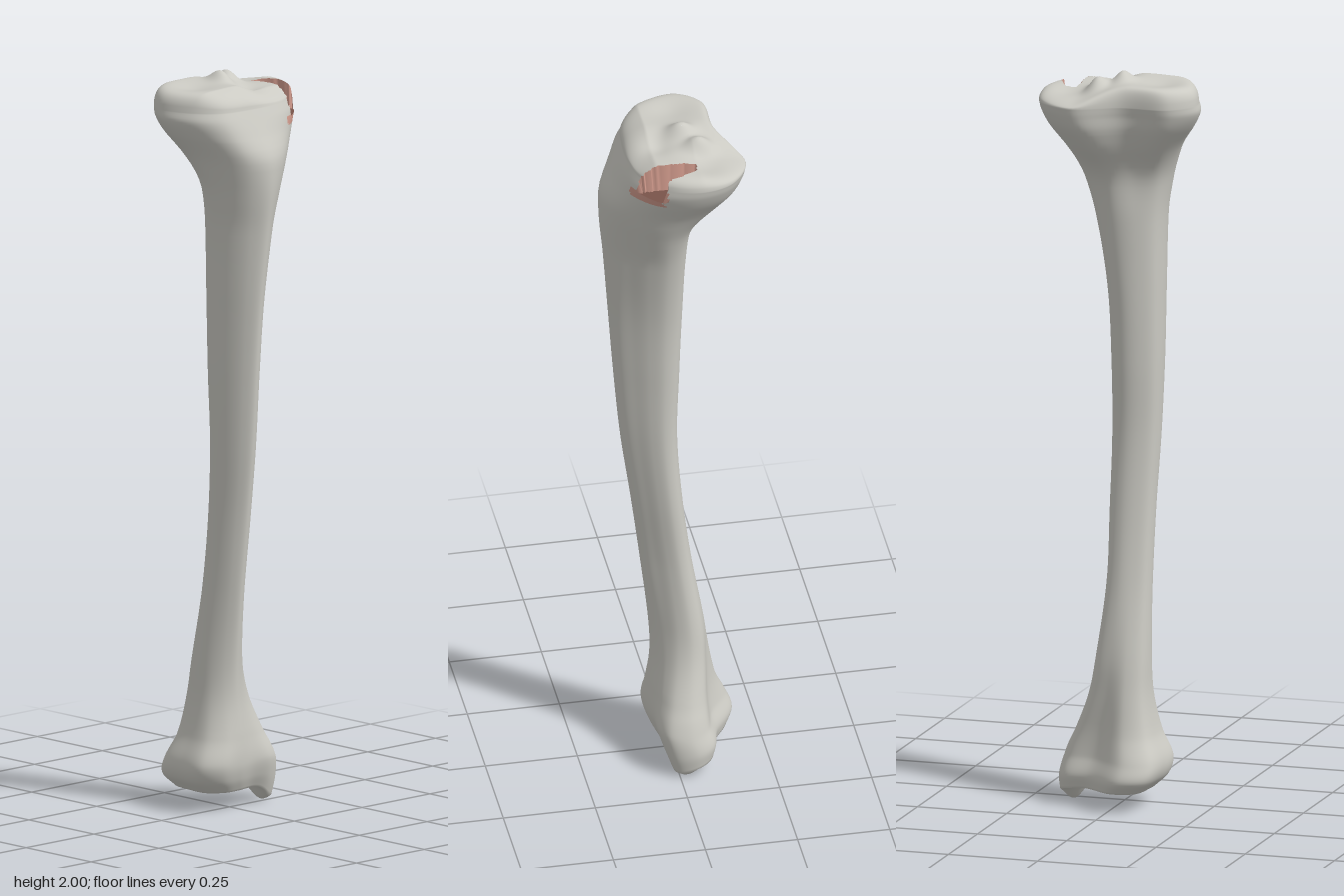
import * as THREE from 'three';

const SEG = 128;

// Outlines seen from above as x, z pairs: outer side, front, inner side, back
const plateau = [-.215, -.05, -.19, .05, -.135, .105, -.05, .12, .04, .118, .125, .095,
  .19, .04, .217, -.05, .19, -.135, .095, -.188, -.03, -.13, -.16, -.12];
const shaft = [-.95, -.2, -.85, .3, -.58, .75, -.2, 1, .2, .82, .55, .42,
  .85, 0, 1, -.45, .85, -.8, .3, -1, -.3, -.92, -.8, -.65];
const ankle = [-.13, -.06, -.128, .02, -.08, .06, -.02, .062, .04, .05, .11, .045,
  .155, .02, .168, -.04, .14, -.09, .06, -.115, -.04, -.175, -.11, -.15];

// Height, x min, x max, z min, z max, outline (0 plateau, 1 shaft, 2 ankle)
const levels = [
  [.05, -.09, .166, -.155, .035, 2],
  [.085, -.125, .17, -.176, .055, 2],
  [.13, -.133, .16, -.16, .066, 2],
  [.2, -.105, .125, -.13, .06, 1.75],
  [.3, -.085, .085, -.11, .05, 1.45],
  [.4, -.08, .065, -.095, .053, 1.2],
  [.6, -.075, .043, -.06, .075, 1],
  [.8, -.077, .042, -.035, .1, 1],
  [1, -.085, .04, -.022, .127, 1],
  [1.2, -.092, .042, -.028, .145, 1],
  [1.4, -.095, .052, -.035, .16, 1],
  [1.6, -.1, .085, -.042, .176, 1],
  [1.7, -.115, .115, -.052, .186, .8],
  [1.75, -.13, .135, -.078, .188, .62],
  [1.8, -.152, .157, -.125, .185, .42],
  [1.86, -.195, .195, -.168, .155, .15],
  [1.9, -.215, .213, -.183, .135, 0],
  [1.925, -.213, .217, -.188, .122, 0],
];

// Stretch a ring of points to fill -1..1 in both directions
function normalise(ring) {
  for (const k of [0, 1]) {
    const v = ring.map(p => p[k]), lo = Math.min(...v), hi = Math.max(...v);
    ring.forEach(p => { p[k] = (2 * p[k] - lo - hi) / (hi - lo); });
  }
  return ring;
}

function sampleOutline(flat) {
  const pts = [];
  for (let i = 0; i < flat.length; i += 2) pts.push(new THREE.Vector3(flat[i], 0, flat[i + 1]));
  const curve = new THREE.CatmullRomCurve3(pts, true);
  return normalise(Array.from({ length: SEG }, (_, j) => {
    const p = curve.getPoint(j / SEG);
    return [p.x, p.z];
  }));
}
const outlines = [plateau, shaft, ankle].map(sampleOutline);

// Smooth interpolation between the level rows
function levelAt(y) {
  let i = 0;
  while (i < levels.length - 2 && levels[i + 1][0] < y) i++;
  const a = levels[i], b = levels[i + 1], h = b[0] - a[0], t = (y - a[0]) / h;
  const slope = (n, k) => {
    const p = levels[Math.max(n - 1, 0)], q = levels[Math.min(n + 1, levels.length - 1)];
    return (q[k] - p[k]) / (q[0] - p[0]);
  };
  return a.map((v, k) => k === 0 ? y :
    v * (2 * t ** 3 - 3 * t * t + 1) + b[k] * (3 * t * t - 2 * t ** 3)
    + h * slope(i, k) * (t ** 3 - 2 * t * t + t) + h * slope(i + 1, k) * (t ** 3 - t * t));
}

function ringAt(y) {
  const [, x0, x1, z0, z1, kind] = levelAt(y);
  const k = THREE.MathUtils.clamp(kind, 0, 2), n = Math.min(Math.floor(k), 1), f = k - n;
  const ring = normalise(outlines[n].map((p, j) =>
    [0, 1].map(c => p[c] * (1 - f) + outlines[n + 1][j][c] * f)));
  const cx = (x0 + x1) / 2, cz = (z0 + z1) / 2;
  return { cx, cz, pts: ring.map(p => [cx + p[0] * (x1 - x0) / 2, cz + p[1] * (z1 - z0) / 2]) };
}

const bump = (x, z, cx, cz, rx, rz = rx) => Math.exp(-(((x - cx) / rx) ** 2) - ((z - cz) / rz) ** 2);

// Height of the knee surface: two shallow dishes and a central ridge
function kneeHeight(x, z) {
  const inner = THREE.MathUtils.smoothstep(x, -.05, .1);
  return 1.98 - inner * (.02 + .2 * Math.max(0, -z - .05)) - .5 * Math.max(0, z - .06)
    - .012 * bump(x, z, -.11, -.02, .06) - .01 * bump(x, z, .13, -.07, .05)
    + .028 * bump(x, z, -.005, -.03, .025, .035) + .03 * bump(x, z, .055, -.07, .025, .035)
    - .015 * bump(x, z, .03, .04, .04);
}

// Broken notch at the inner front corner of the knee end
const NOTCH_Y = 1.882;
const inNotch = (x, z) => x > .122 && z > -.045 &&
  (z > .045 || x < .175 + (z < 0 ? .5 * z : .15 * z));

export function createModel() {
  const rows = [], lo = levels[0][0], hi = levels[levels.length - 1][0];

  // Ankle surface, from its middle outwards
  const foot = ringAt(lo), CAP = 22;
  for (let i = 0; i < CAP; i++) {
    const s = .001 + .999 * i / CAP;
    rows.push(foot.pts.map(([x, z]) => [foot.cx + (x - foot.cx) * s,
      lo + .014 * (1 - s * s), foot.cz + (z - foot.cz) * s]));
  }
  // Shaft, with finer steps near both ends
  for (let y = lo; y < hi - .001; y += y < .22 || y > 1.84 ? .006 : .02) {
    rows.push(ringAt(y).pts.map(([x, z]) => [x, y, z]));
  }
  // Knee surface, from the rim inwards
  const knee = ringAt(hi), TOP = 40;
  for (let i = 0; i <= TOP; i++) {
    const s = 1 - .999 * (i / TOP) ** 1.35;
    rows.push(knee.pts.map(([px, pz]) => {
      const x = knee.cx + (px - knee.cx) * s, z = knee.cz + (pz - knee.cz) * s;
      return [x, hi + (kneeHeight(x, z) - hi) * Math.sqrt(1 - s ** 12), z];
    }));
  }

  // Pull down the ankle knob and cut the notch
  const cut = [], pos = [];
  for (const [x, y, z] of rows.flat()) {
    const knob = .055 * bump(x, z, .135, -.02, .036, .05) * (1 - THREE.MathUtils.smoothstep(y, .05, .17));
    const isCut = y > NOTCH_Y && inNotch(x, z);
    cut.push(isCut);
    pos.push(x, isCut ? NOTCH_Y : y - knob, z);
  }

  // Sort faces into bone, broken edge and notch floor
  const faces = { bone: [], edge: [], floor: [] };
  const addFace = (a, b, c) => {
    const n = cut[a] + cut[b] + cut[c], y = pos[a * 3 + 1];
    const lip = y > 1.862 && y <= NOTCH_Y && pos[a * 3] > .09 && pos[a * 3] < .175 && pos[a * 3 + 2] > .04;
    const kind = n === 3 ? 'floor' : n > 0 || lip ? 'edge' : 'bone';
    faces[kind].push(a, b, c);
  };
  for (let i = 0; i < rows.length - 1; i++) {
    for (let j = 0; j < SEG; j++) {
      const k = (j + 1) % SEG, a = i * SEG + j, b = i * SEG + k;
      addFace(a, b, b + SEG);
      addFace(a, b + SEG, a + SEG);
    }
  }

  const boneGrey = new THREE.MeshStandardMaterial({ color: 0xcbcac3 });
  boneGrey.name = 'bone grey';
  const brokenPink = new THREE.MeshStandardMaterial({ color: 0xd09a8c });
  brokenPink.name = 'broken pink';
  const innerBrown = new THREE.MeshStandardMaterial({ color: 0x7a544b });
  innerBrown.name = 'inner brown';

  const group = new THREE.Group();
  group.name = 'shinBone';
  const addPart = (name, index, material) => {
    const g = new THREE.BufferGeometry();
    g.setAttribute('position', new THREE.Float32BufferAttribute(pos, 3));
    g.setIndex(index);
    g.computeVertexNormals();
    const mesh = new THREE.Mesh(g, material);
    mesh.name = name;
    group.add(mesh);
  };
  addPart('boneSurface', faces.bone, boneGrey);
  addPart('notchEdge', faces.edge, brokenPink);
  addPart('notchFloor', faces.floor, innerBrown);
  return group;
}
